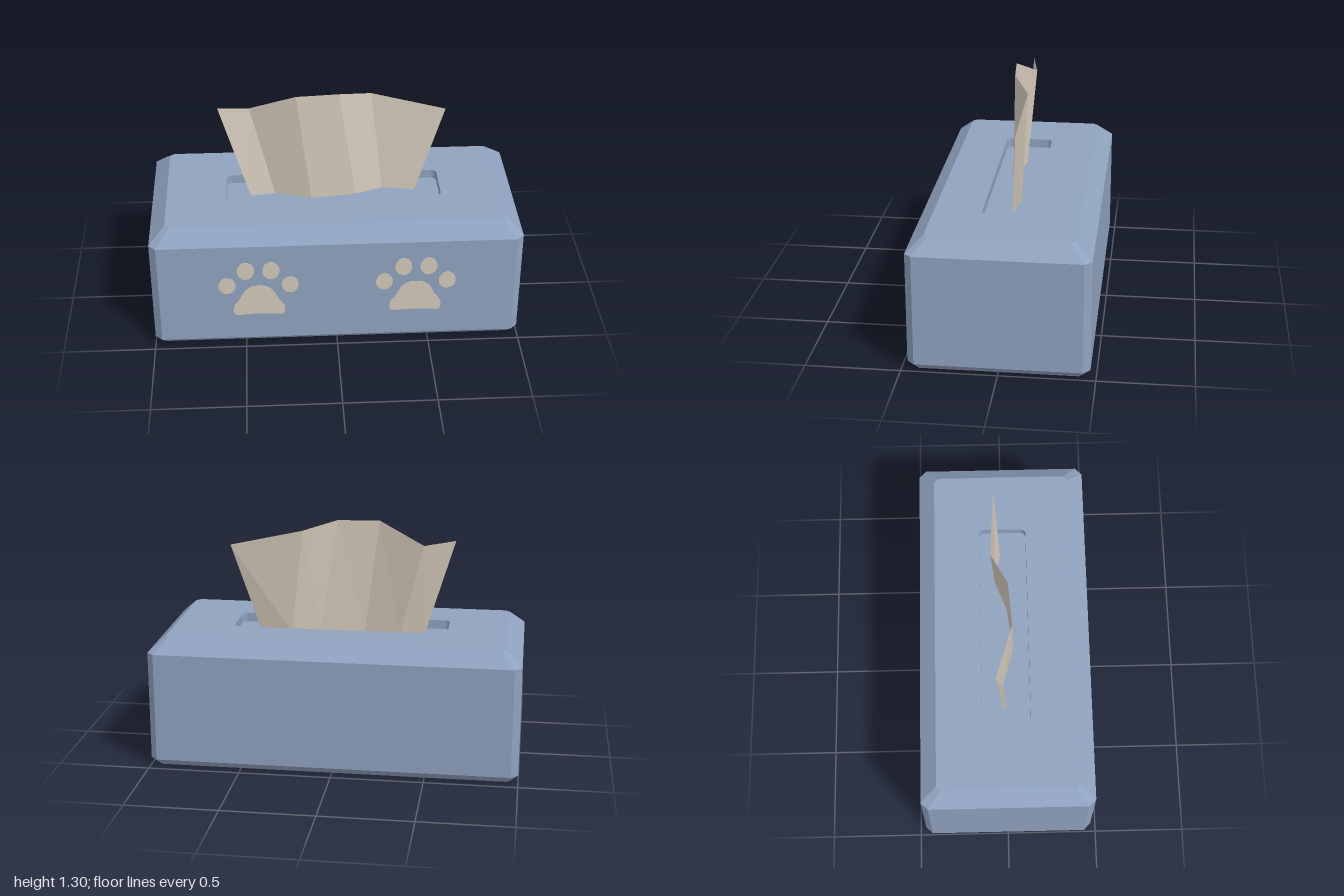
import * as THREE from 'three';

const blue = new THREE.MeshStandardMaterial({ color: 0x8fa2be, name: 'dustyBlue' });
const cream = new THREE.MeshStandardMaterial({ color: 0xd3c8b9, name: 'cream' });
const paper = new THREE.MeshStandardMaterial({ color: 0xd3c8b9, name: 'paper', side: THREE.DoubleSide, flatShading: true });

// Rectangle with cut corners, as [x, z] points
function cutRect(hx, hz, c) {
  return [[hx, hz - c], [hx, c - hz], [hx - c, -hz], [c - hx, -hz],
    [-hx, c - hz], [-hx, hz - c], [c - hx, hz], [hx - c, hz]];
}

function toShape(points) {
  return new THREE.Shape(points.map(([x, z]) => new THREE.Vector2(x, -z)));
}

// Rounded rectangle path for the slot
function roundedRect(path, hx, hy, r) {
  path.absarc(hx - r, hy - r, r, 0, Math.PI / 2);
  path.absarc(r - hx, hy - r, r, Math.PI / 2, Math.PI);
  path.absarc(r - hx, r - hy, r, Math.PI, Math.PI * 1.5);
  path.absarc(hx - r, r - hy, r, Math.PI * 1.5, Math.PI * 2);
  path.closePath();
  return path;
}

// Skin a list of 3D rows with flat faces
function skin(rows, closed) {
  const pos = [];
  for (let r = 0; r < rows.length - 1; r++) {
    const a = rows[r], b = rows[r + 1], n = a.length;
    for (let i = 0; i < (closed ? n : n - 1); i++) {
      const j = (i + 1) % n;
      pos.push(...a[i], ...a[j], ...b[j], ...a[i], ...b[j], ...b[i]);
    }
  }
  const g = new THREE.BufferGeometry();
  g.setAttribute('position', new THREE.Float32BufferAttribute(pos, 3));
  g.computeVertexNormals();
  return g;
}

function add(parent, name, geometry, material) {
  const mesh = new THREE.Mesh(geometry, material);
  mesh.name = name;
  parent.add(mesh);
  return mesh;
}

function createBox() {
  const box = new THREE.Group();
  box.name = 'box';
  const bottom = cutRect(0.96, 0.43, 0.02), top = cutRect(0.915, 0.383, 0.024);
  const side = cutRect(1, 0.47, 0.038);
  const at = (pts, y) => pts.map(([x, z]) => [x, y, z]);

  // Bevelled walls
  add(box, 'walls', skin([at(bottom, 0), at(side, 0.04), at(side, 0.64), at(top, 0.717)], true), blue);
  add(box, 'base', new THREE.ShapeGeometry(toShape(bottom)).rotateX(-Math.PI / 2).scale(1, 1, 1), blue)
    .rotation.x = Math.PI;

  // Lid with the slot cut through it, and the slot floor
  const lid = toShape(top);
  lid.holes.push(roundedRect(new THREE.Path(), 0.588, 0.132, 0.03));
  add(box, 'lid', new THREE.ExtrudeGeometry(lid, { depth: 0.05, bevelEnabled: false, curveSegments: 5 })
    .rotateX(-Math.PI / 2).translate(0, 0.667, 0), blue);
  add(box, 'slotFloor', new THREE.ShapeGeometry(roundedRect(new THREE.Shape(), 0.588, 0.132, 0.03), 5)
    .rotateX(-Math.PI / 2).translate(0, 0.667, 0), blue);
  return box;
}

// Creased sheet rising from the slot
function createTissue() {
  const low = [[-0.455, 0.667, 0.005], [-0.32, 0.667, -0.015], [-0.12, 0.667, 0.045],
    [0.127, 0.667, 0.015], [0.277, 0.667, -0.045], [0.455, 0.667, -0.015]];
  const high = [[-0.62, 1.21, -0.02], [-0.45, 1.185, -0.055], [-0.2, 1.297, 0.036],
    [0.03, 1.297, 0.018], [0.21, 1.252, -0.07], [0.615, 1.157, -0.048]];
  const group = new THREE.Group();
  add(group, 'tissue', skin([low, high], false), paper);
  return group;
}

function createPaw() {
  const paw = new THREE.Group();
  paw.name = 'pawPrint';
  const opts = { depth: 0.006, bevelEnabled: false, curveSegments: 12 };

  // Main pad
  const pad = new THREE.Shape();
  pad.moveTo(0, 0.388);
  pad.bezierCurveTo(0.06, 0.388, 0.085, 0.35, 0.1, 0.31);
  pad.bezierCurveTo(0.115, 0.28, 0.14, 0.27, 0.14, 0.23);
  pad.quadraticCurveTo(0.14, 0.196, 0.115, 0.196);
  pad.quadraticCurveTo(0, 0.21, -0.115, 0.196);
  pad.quadraticCurveTo(-0.14, 0.196, -0.14, 0.23);
  pad.bezierCurveTo(-0.14, 0.27, -0.115, 0.28, -0.1, 0.31);
  pad.bezierCurveTo(-0.085, 0.35, -0.06, 0.388, 0, 0.388);
  add(paw, 'pad', new THREE.ExtrudeGeometry(pad, opts), cream);

  // Four toes
  for (const s of [-1, 1]) {
    for (const [x, y, rx, ry] of [[0.068, 0.485, 0.046, 0.055], [0.17, 0.391, 0.046, 0.052]]) {
      const toe = new THREE.Shape();
      toe.absellipse(s * x, y, rx, ry, 0, Math.PI * 2, false, 0);
      add(paw, 'toe', new THREE.ExtrudeGeometry(toe, opts), cream);
    }
  }
  return paw;
}

export function createModel() {
  const model = new THREE.Group();
  model.name = 'tissueBox';
  model.add(createBox(), createTissue());
  for (const x of [-0.424, 0.424]) {
    const paw = createPaw();
    paw.position.set(x, 0, 0.467);
    model.add(paw);
  }
  return model;
}
